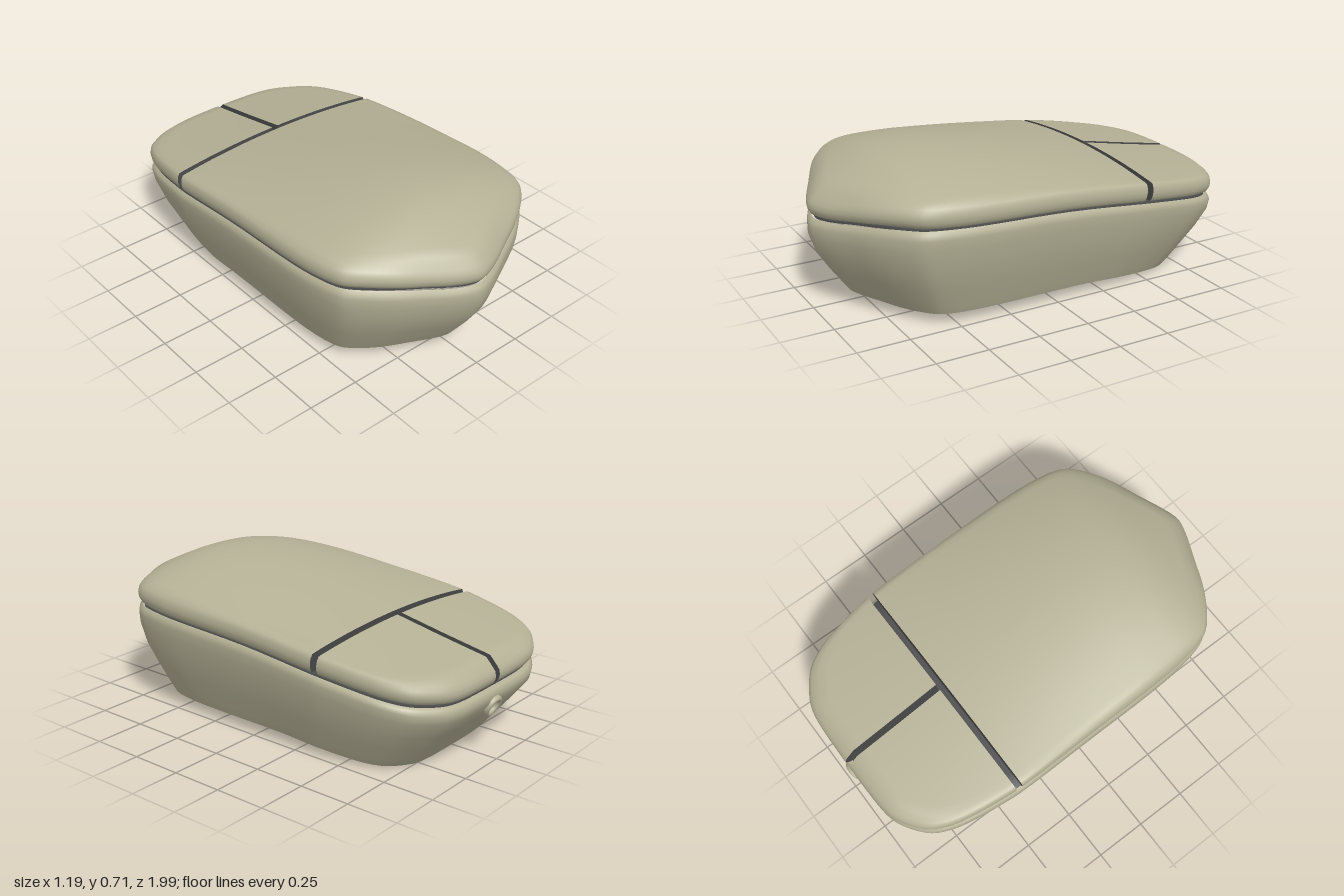
import * as THREE from 'three';

const beige = new THREE.MeshStandardMaterial({ color: 0xb5b196 });
const dark = new THREE.MeshStandardMaterial({ color: 0x4a4a4a, side: THREE.DoubleSide });

// Smooth curve through [position, value] pairs, clamped at both ends
function smooth(t) {
  const slope = (i) => {
    const a = t[Math.max(i - 1, 0)], b = t[Math.min(i + 1, t.length - 1)];
    return (b[1] - a[1]) / (b[0] - a[0]);
  };
  return (p) => {
    if (p <= t[0][0]) return t[0][1];
    if (p >= t[t.length - 1][0]) return t[t.length - 1][1];
    const i = t.findIndex((q) => q[0] > p) - 1;
    const h = t[i + 1][0] - t[i][0], u = (p - t[i][0]) / h, w = 1 - u;
    return t[i][1] * (1 + 2 * u) * w * w + t[i + 1][1] * (3 - 2 * u) * u * u
      + slope(i) * h * u * w * w - slope(i + 1) * h * u * u * w;
  };
}

// Heights along the length: seam, underside, top centre line, sideways curvature
const seam = smooth([[-1, 0.345], [-0.95, 0.355], [-0.7, 0.4], [-0.42, 0.44], [0, 0.48], [0.5, 0.5],
  [0.72, 0.505], [0.82, 0.495], [0.95, 0.455], [1, 0.445]]);
const under = smooth([[-0.765, 0.005], [-0.5, 0.03], [-0.3, 0.047], [-0.15, 0.055], [0.82, 0.055]]);
const crown = smooth([[-0.95, 0.475], [-0.7, 0.52], [-0.43, 0.572], [-0.1, 0.635], [0.1, 0.67], [0.35, 0.705],
  [0.5, 0.715], [0.6, 0.713], [0.7, 0.695], [0.84, 0.635], [0.95, 0.58]]);
const bend = smooth([[-0.95, 0.08], [-0.43, 0.12], [0.1, 0.25], [0.5, 0.33], [0.95, 0.33]]);

// Plan outline, mirrored from one half
const half = [[0, 0.997], [0.05, 0.987], [0.12, 0.96], [0.22, 0.912], [0.35, 0.85], [0.45, 0.785], [0.53, 0.71],
  [0.557, 0.65], [0.58, 0.52], [0.59, 0.35], [0.592, 0], [0.59, -0.42], [0.58, -0.52], [0.56, -0.65], [0.53, -0.77],
  [0.48, -0.865], [0.4, -0.93], [0.33, -0.965], [0.25, -0.98], [0.1, -0.985], [0, -0.985]];
const outline = new THREE.CatmullRomCurve3(
  [...half, ...half.slice(1, -1).reverse().map(([x, z]) => [-x, z])].map(([x, z]) => new THREE.Vector3(x, 0, z)),
  true).getPoints(160).slice(0, -1);

// Skin over rings; each ring maps an outline point to a position
function loft(rings) {
  const n = outline.length, pos = [], idx = [];
  rings.forEach((ring, j) => outline.forEach((p, i) => {
    pos.push(...ring(p.x, p.z));
    if (j === 0) return;
    const a = (j - 1) * n + i, b = (j - 1) * n + (i + 1) % n;
    idx.push(a, b, b + n, a, b + n, a + n);
  }));
  const g = new THREE.BufferGeometry();
  g.setAttribute('position', new THREE.Float32BufferAttribute(pos, 3));
  g.setIndex(idx);
  g.computeVertexNormals();
  return g;
}

// Triangles as { cap, v: [{ p, n } x 3] }
function triangles(geometry) {
  const g = geometry.toNonIndexed(), P = g.attributes.position, N = g.attributes.normal, out = [];
  const at = (i) => ({ p: new THREE.Vector3().fromBufferAttribute(P, i), n: new THREE.Vector3().fromBufferAttribute(N, i) });
  for (let i = 0; i < P.count; i += 3) out.push({ cap: false, v: [at(i), at(i + 1), at(i + 2)] });
  return out;
}

// Keep the side where normal.p > d and close the cut with a wall
function cut(tris, normal, d) {
  const m = normal.clone().normalize(), k = d / normal.length(), out = [], edge = [];
  for (const { cap, v } of tris) {
    const poly = [];
    v.forEach((a, i) => {
      const b = v[(i + 1) % 3], da = m.dot(a.p) - k, db = m.dot(b.p) - k;
      if (da >= 0) poly.push(a);
      if (da >= 0 !== db >= 0) {
        const t = da / (da - db);
        const c = { p: a.p.clone().lerp(b.p, t), n: a.n.clone().lerp(b.n, t).normalize() };
        poly.push(c);
        edge.push(c.p);
      }
    });
    for (let i = 2; i < poly.length; i++) out.push({ cap, v: [poly[0], poly[i - 1], poly[i]] });
  }
  const n = m.clone().negate();
  const u = new THREE.Vector3(0, 1, 0).cross(n).normalize(), w = n.clone().cross(u);
  const mid = new THREE.Box3().setFromPoints(edge).getCenter(new THREE.Vector3());
  const angle = (p) => Math.atan2(p.clone().sub(mid).dot(w), p.clone().sub(mid).dot(u));
  edge.sort((a, b) => angle(a) - angle(b));
  edge.forEach((p, i) => out.push({ cap: true, v: [mid, p, edge[(i + 1) % edge.length]].map((q) => ({ p: q, n })) }));
  return out;
}

function toMesh(tris, material, name) {
  const g = new THREE.BufferGeometry();
  const flat = (key) => new THREE.Float32BufferAttribute(tris.flatMap((t) => t.v.flatMap((c) => c[key].toArray())), 3);
  g.setAttribute('position', flat('p'));
  g.setAttribute('normal', flat('n'));
  return named(new THREE.Mesh(g, material), name);
}

function named(object, name) {
  object.name = name;
  return object;
}

// Ring lying on the seam, scaled by s and lifted by dy
const onSeam = (s, dy) => (x, z) => [x * s, seam(z * s) + dy, z * s];

export function createModel() {
  const model = new THREE.Group();
  const add = (geometry, material, name) => {
    const mesh = named(new THREE.Mesh(geometry, material), name);
    model.add(mesh);
    return mesh;
  };

  // Lower body: height fraction, width scale, front scale, rear scale
  const rows = [[0, 0.81, 0.82, 0.775], [0.1, 0.84, 0.85, 0.805], [0.33, 0.9, 0.915, 0.868], [0.55, 0.955, 0.97, 0.93],
    [0.78, 0.99, 1, 0.99], [0.9, 1, 1, 0.998], [0.96, 0.995, 0.995, 0.985], [0.99, 0.972, 0.978, 0.965]];
  const bodyRing = ([f, sx, front, rear]) => (x, z) => {
    const low = under(z * (z > 0 ? 0.82 : 0.775));
    return [x * sx, low + (seam(z) - low) * f, z * (z > 0 ? front : rear)];
  };
  add(loft(rows.map(bodyRing)), beige, 'lowerBody');

  // Underside
  add(loft([0, 0.2, 0.4, 0.6, 0.8, 1].map((s) => (x, z) => {
    const pz = z * s * (z > 0 ? 0.82 : 0.775);
    return [x * s * 0.81, under(pz), pz];
  })), beige, 'underside');

  // Dark plate showing in the seam and the gaps
  add(loft([[0.968, -0.012], [0.968, 0.002], [0.85, 0.002], [0.65, 0.002], [0.45, 0.002], [0.2, 0.002], [0, 0.002]]
    .map(([s, dy]) => onSeam(s, dy))), dark, 'seamPlate');

  // Upper shell: base, rounded wall, then dome
  const rings = [[0, 0.006], [0.4, 0.006], [0.8, 0.006], [0.972, 0.006]].map(([s, dy]) => onSeam(s, dy));
  for (const [s, dy] of [[0.985, 0.016], [0.996, 0.032], [1, 0.052], [0.995, 0.075], [0.98, 0.093]]) {
    rings.push((x, z) => [x * s, seam(z) + dy, z * s]);
  }
  for (const s of [0.945, 0.9, 0.84, 0.77, 0.7, 0.63, 0.56, 0.49, 0.42, 0.35, 0.28, 0.2, 0.1, 0]) {
    rings.push((x, z) => [x * s, crown(z * s) - bend(z * s) * (x * s) ** 2, z * s]);
  }
  const shell = triangles(loft(rings));

  // Cut the shell into the palm rest and two buttons
  const tilt = 0.08, across = new THREE.Vector3(0, tilt, 1);
  const buttons = cut(shell, across.clone().negate(), 0.455 - tilt * 0.57);
  const pieces = {
    palmRest: cut(shell, across, -0.422 + tilt * 0.57),
    leftButton: cut(buttons, new THREE.Vector3(1, 0, 0), 0.016),
    rightButton: cut(buttons, new THREE.Vector3(-1, 0, 0), 0.016),
  };
  for (const [name, tris] of Object.entries(pieces)) {
    const piece = named(new THREE.Group(), name);
    piece.add(toMesh(tris.filter((t) => !t.cap), beige, name + 'Surface'));
    piece.add(toMesh(tris.filter((t) => t.cap), dark, name + 'GapWall'));
    model.add(piece);
  }

  // Cable socket at the rear
  const profile = [[0.055, -0.04], [0.055, 0], [0.051, 0.008], [0.044, 0.011], [0.036, 0.008], [0.031, 0], [0.028, -0.012], [0, -0.012]];
  const socket = add(new THREE.LatheGeometry(profile.map(([r, y]) => new THREE.Vector2(r, y)), 32), beige, 'cableSocket');
  socket.position.set(0, 0.25, -0.968);
  socket.quaternion.setFromUnitVectors(new THREE.Vector3(0, 1, 0), new THREE.Vector3(0, -0.42, -0.9).normalize());

  return model;
}
